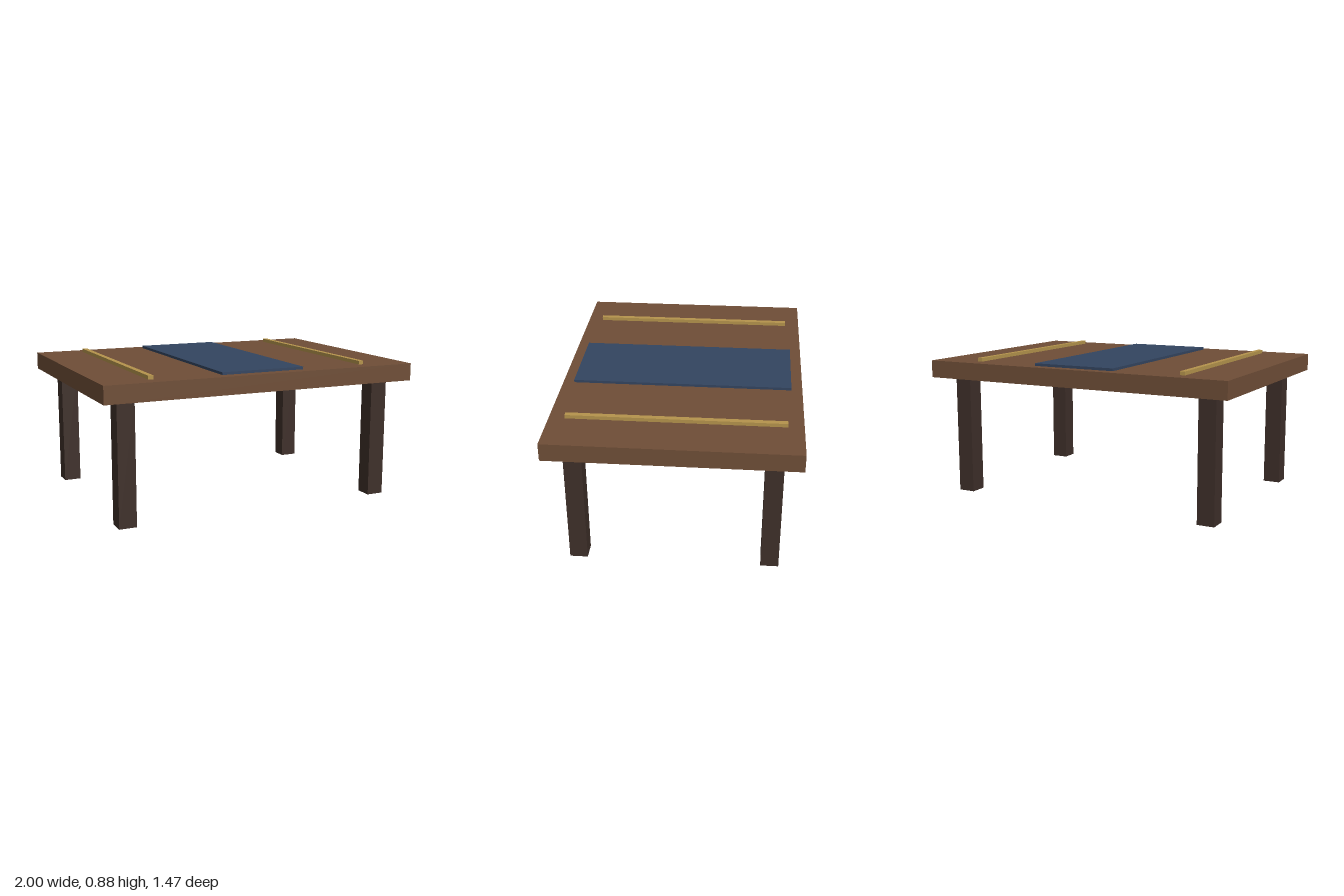
import * as THREE from 'three';

const wood = new THREE.MeshStandardMaterial({ color: 0x6f4e37 });
const darkWood = new THREE.MeshStandardMaterial({ color: 0x3e2f29 });
const cloth = new THREE.MeshStandardMaterial({ color: 0x334560 });
const brass = new THREE.MeshStandardMaterial({ color: 0xb5944c });

// Box whose underside rests at height y
function block(name, material, [w, h, d], [x, y, z]) {
  const mesh = new THREE.Mesh(new THREE.BoxGeometry(w, h, d), material);
  mesh.name = name;
  mesh.position.set(x, y + h / 2, z);
  return mesh;
}

export function createModel() {
  const table = new THREE.Group();
  table.name = 'table';

  const legHeight = 0.747;
  const topThickness = 0.107;
  const surface = legHeight + topThickness;

  // Tabletop and the cloth runner across its middle
  table.add(block('tabletop', wood, [2, topThickness, 1.467], [0, legHeight, 0]));
  table.add(block('runner', cloth, [0.533, 0.016, 1.333], [0, surface, 0]));

  for (const side of [-1, 1]) {
    const sideName = side > 0 ? 'left' : 'right';

    // Raised inlay strip on each side
    table.add(block(`${sideName}Strip`, brass, [0.032, 0.022, 1.28], [side * 0.693, surface, 0]));

    // Front and back legs
    for (const end of [-1, 1]) {
      const name = `${sideName}${end > 0 ? 'Front' : 'Back'}Leg`;
      table.add(block(name, darkWood, [0.107, legHeight, 0.107], [side * 0.84, 0, end * 0.573]));
    }
  }
  return table;
}
